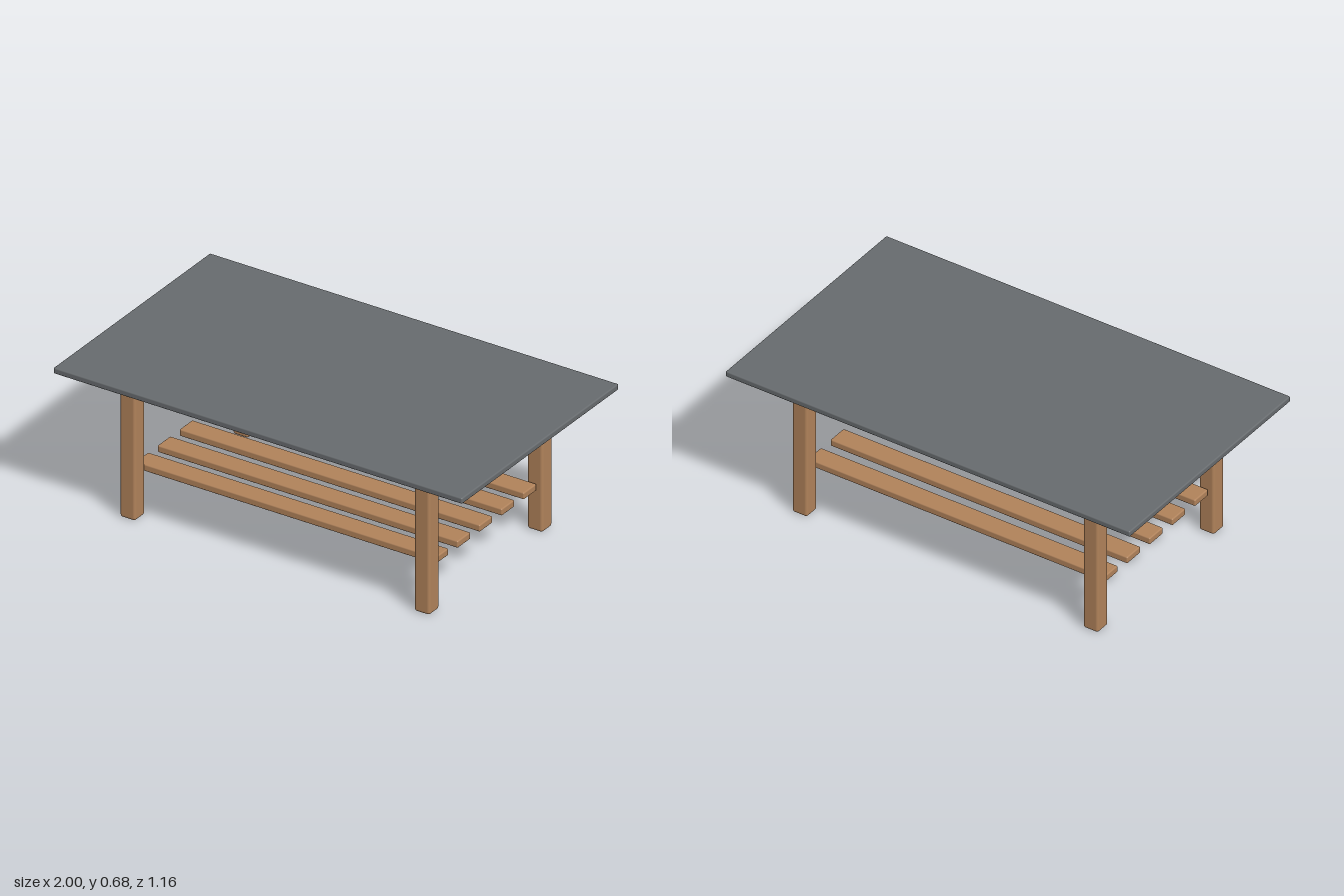
import * as THREE from 'three';
import { RoundedBoxGeometry } from 'three/addons/geometries/RoundedBoxGeometry.js';

export function createModel() {
  const table = new THREE.Group();
  table.name = 'coffeeTable';

  const wood = new THREE.MeshStandardMaterial({ color: 0xb0825a });
  wood.name = 'warm wood';
  const slate = new THREE.MeshStandardMaterial({ color: 0x676b6e });
  slate.name = 'slate grey';

  // Softened block, placed by its centre
  function block(name, material, size, position, radius) {
    const mesh = new THREE.Mesh(new RoundedBoxGeometry(...size, 3, radius), material);
    mesh.name = name;
    mesh.position.set(...position);
    table.add(mesh);
  }

  // Overhanging top
  block('tableTop', slate, [2, 0.027, 1.16], [0, 0.665, 0], 0.006);

  const legX = 0.72, legZ = 0.418;
  for (const [end, sz] of [['front', 1], ['back', -1]]) {
    // Legs
    for (const [side, sx] of [['Left', 1], ['Right', -1]]) {
      block(`${end}${side}Leg`, wood, [0.075, 0.652, 0.075], [sx * legX, 0.326, sz * legZ], 0.012);
    }
    // Long rail joining the two legs under the top
    block(`${end}Rail`, wood, [1.4, 0.056, 0.05], [0, 0.624, sz * legZ], 0.008);
  }

  // Slatted lower shelf
  for (let i = 0; i < 5; i++) {
    block(`shelfSlat${i + 1}`, wood, [1.47, 0.032, 0.095], [0, 0.211, (i - 2) * 0.163], 0.006);
  }

  return table;
}
